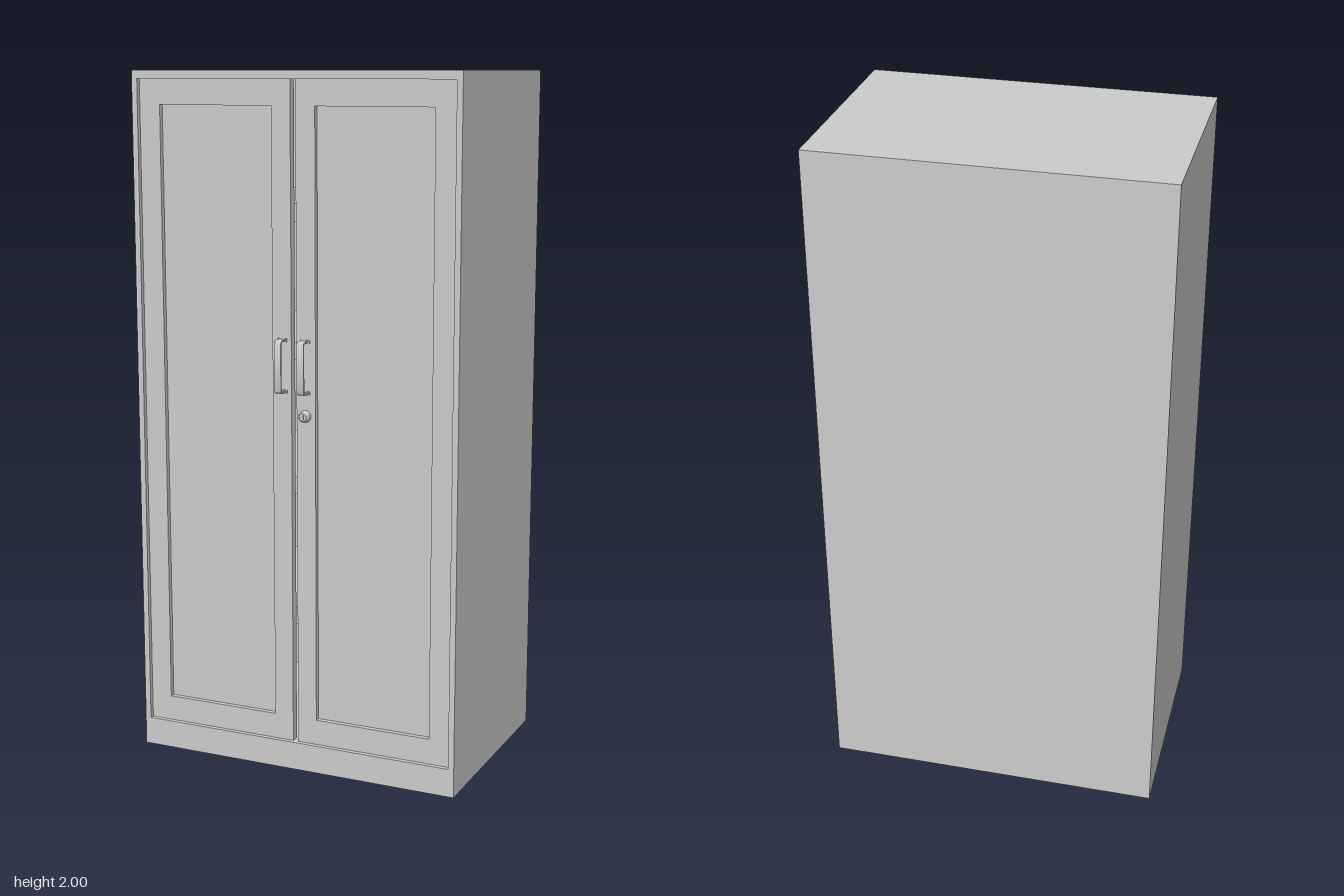
import * as THREE from 'three';
import { toCreasedNormals } from 'three/addons/utils/BufferGeometryUtils.js';

const material = new THREE.MeshStandardMaterial({ color: 0xcccccc });

function addMesh(parent, name, geometry, x = 0, y = 0, z = 0) {
  const mesh = new THREE.Mesh(geometry, material);
  mesh.name = name;
  mesh.position.set(x, y, z);
  parent.add(mesh);
  return mesh;
}

function addBox(parent, name, x0, x1, y0, y1, z0, z1) {
  return addMesh(parent, name, new THREE.BoxGeometry(x1 - x0, y1 - y0, z1 - z0),
    (x0 + x1) / 2, (y0 + y1) / 2, (z0 + z1) / 2);
}

function rect(path, x0, x1, y0, y1) {
  path.moveTo(x0, y0);
  path.lineTo(x1, y0);
  path.lineTo(x1, y1);
  path.lineTo(x0, y1);
  path.closePath();
  return path;
}

// Rectangular frame with a rectangular opening
function addFrame(parent, name, outer, inner, z0, z1) {
  const shape = rect(new THREE.Shape(), ...outer);
  shape.holes.push(rect(new THREE.Path(), ...inner));
  const geometry = new THREE.ExtrudeGeometry(shape, { depth: z1 - z0, bevelEnabled: false });
  return addMesh(parent, name, geometry, 0, 0, z0);
}

// Bent flat-bar pull: a C-shaped side profile extruded across its width
function handleGeometry(z0, z1, y0, y1, thickness, width) {
  const r = 0.012, ri = r - thickness;
  const s = new THREE.Shape();
  s.moveTo(z0, y0);
  s.lineTo(z1 - r, y0);
  s.absarc(z1 - r, y0 + r, r, -Math.PI / 2, 0, false);
  s.lineTo(z1, y1 - r);
  s.absarc(z1 - r, y1 - r, r, 0, Math.PI / 2, false);
  s.lineTo(z0, y1);
  s.lineTo(z0, y1 - thickness);
  s.lineTo(z1 - r, y1 - thickness);
  s.absarc(z1 - r, y1 - r, ri, Math.PI / 2, 0, true);
  s.lineTo(z1 - thickness, y0 + r);
  s.absarc(z1 - r, y0 + r, ri, 0, -Math.PI / 2, true);
  s.lineTo(z0, y0 + thickness);
  s.closePath();
  const g = new THREE.ExtrudeGeometry(s, { depth: width, bevelEnabled: false, curveSegments: 6 });
  g.translate(0, 0, -width / 2);
  g.rotateY(-Math.PI / 2);
  return toCreasedNormals(g, 0.6);
}

export function createModel() {
  const cabinet = new THREE.Group();
  cabinet.name = 'cabinet';
  const W = 0.496, back = -0.333, front = 0.313;
  const openX = 0.479, openY0 = 0.082, openY1 = 1.977;
  const doorFront = 0.299;

  // Carcass
  addFrame(cabinet, 'carcass', [-W, W, 0, 2], [-openX, openX, openY0, openY1], back + 0.015, front);
  addBox(cabinet, 'backPanel', -W, W, 0, 2, back, back + 0.015);

  // Shelves, visible only through the gap between the doors
  for (let i = 0; i < 4; i++) {
    const y = 0.45 + i * 0.388;
    addBox(cabinet, 'shelf', -openX, openX, y - 0.026, y + 0.026, back + 0.015, 0.26);
  }

  // Mirrored pair of doors with recessed panels and handles
  for (const side of [-1, 1]) {
    const door = new THREE.Group();
    door.name = side > 0 ? 'leftDoor' : 'rightDoor';
    cabinet.add(door);
    const span = (a, b) => (side > 0 ? [a, b] : [-b, -a]);
    const panel = [...span(0.066, 0.415), 0.156, 1.905];
    addFrame(door, 'doorFrame', [...span(0.008, openX), openY0, openY1], panel, 0.275, doorFront);
    addBox(door, 'doorPanel', ...panel, 0.275, 0.284);

    const hx = side * 0.035;
    addMesh(door, 'handle', handleGeometry(doorFront - 0.002, 0.333, 1.113, 1.264, 0.005, 0.021), hx);
    for (const y of [1.116, 1.261]) {
      addBox(door, 'handleFoot', hx - 0.014, hx + 0.014, y - 0.005, y + 0.005, doorFront - 0.002, doorFront + 0.003);
    }
  }

  // Round lock with a raised key plug
  const lock = new THREE.Group();
  lock.name = 'lock';
  lock.position.set(0.035, 1.05, doorFront);
  cabinet.add(lock);
  const profile = [[0, 0.018], [0.011, 0.018], [0.015, 0.014], [0.017, 0.004], [0.017, -0.002]]
    .map(([r, y]) => new THREE.Vector2(r, y)).reverse();
  addMesh(lock, 'lockBody', toCreasedNormals(new THREE.LatheGeometry(profile, 24), 0.6)).rotation.x = Math.PI / 2;
  addBox(lock, 'keyPlug', -0.002, 0.002, -0.007, 0.007, 0.017, 0.019);

  return cabinet;
}
